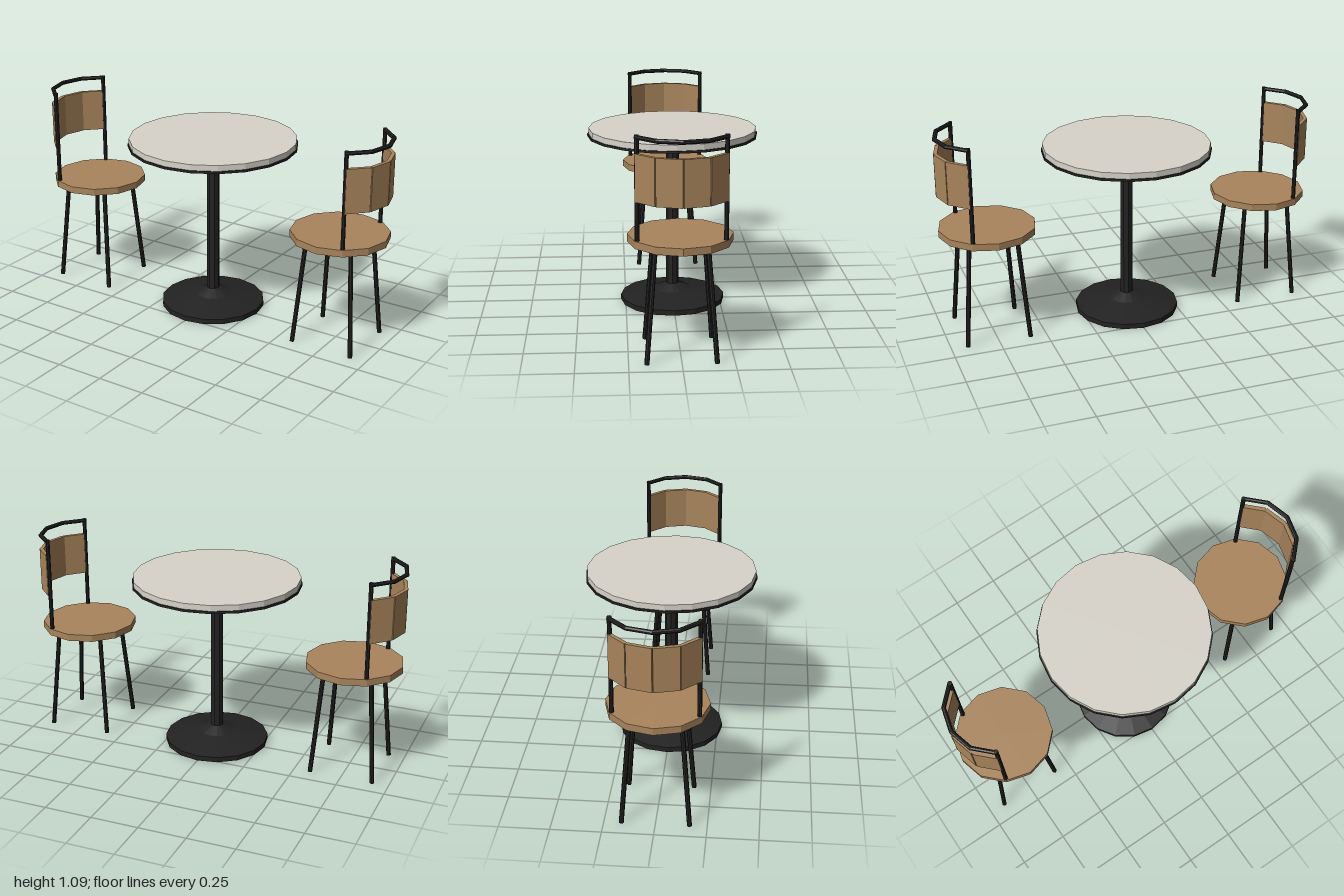
import * as THREE from 'three';

const flat = (name, color) => {
  const m = new THREE.MeshStandardMaterial({ color });
  m.name = name;
  m.flatShading = true;
  return m;
};

function addMesh(parent, name, geometry, material, x = 0, y = 0, z = 0) {
  const mesh = new THREE.Mesh(geometry, material);
  mesh.name = name;
  mesh.position.set(x, y, z);
  parent.add(mesh);
  return mesh;
}

// Round bar between two points, optionally lengthened at both ends
function addBar(parent, name, a, b, radius, material, extra = 0) {
  const dir = b.clone().sub(a);
  const bar = addMesh(parent, name, new THREE.CylinderGeometry(radius, radius, dir.length() + extra * 2, 8), material);
  bar.position.copy(a).add(b).multiplyScalar(0.5);
  bar.quaternion.setFromUnitVectors(new THREE.Vector3(0, 1, 0), dir.normalize());
  return bar;
}

function createTable(stone, metal) {
  const table = new THREE.Group();
  table.name = 'table';
  addMesh(table, 'tableTop', new THREE.CylinderGeometry(0.435, 0.435, 0.03, 20), stone, 0, 0.924, 0);
  addMesh(table, 'tableTopRim', new THREE.CylinderGeometry(0.441, 0.441, 0.012, 20), metal, 0, 0.903, 0);
  addMesh(table, 'tableColumn', new THREE.CylinderGeometry(0.034, 0.034, 0.84, 8), metal, 0, 0.48, 0);
  // Flared pedestal foot
  const profile = [[0, 0], [0.275, 0], [0.275, 0.027], [0.1, 0.064], [0.034, 0.092], [0, 0.092]];
  const foot = new THREE.LatheGeometry(profile.map(([r, y]) => new THREE.Vector2(r, y)), 16);
  addMesh(table, 'tableFoot', foot, metal);
  return table;
}

// Chair centred on its seat, with the backrest towards +x
function createChair(name, wood, metal) {
  const chair = new THREE.Group();
  chair.name = name;
  addMesh(chair, 'seat', new THREE.CylinderGeometry(0.25, 0.25, 0.036, 12), wood, 0, 0.572, 0);

  // Splayed legs
  for (const sx of [-1, 1]) {
    for (const sz of [-1, 1]) {
      addBar(chair, 'leg', new THREE.Vector3(sx * 0.165, 0.001, sz * 0.165),
        new THREE.Vector3(sx * 0.122, 0.56, sz * 0.122), 0.012, metal);
    }
  }

  // Backrest panels and top rail follow an arc in four straight steps
  const R = 0.24;
  const step = Math.PI / 6;
  const onArc = (angle, y) => new THREE.Vector3(R * Math.cos(angle), y, R * Math.sin(angle));
  for (let i = -2; i < 2; i++) {
    const mid = (i + 0.5) * step;
    const d = R * Math.cos(step / 2);
    const panel = addMesh(chair, 'backPanel', new THREE.BoxGeometry(0.02, 0.224, 2 * R * Math.sin(step / 2)),
      wood, d * Math.cos(mid), 0.888, d * Math.sin(mid));
    panel.rotation.y = -mid;
    addBar(chair, 'topRail', onArc(i * step, 1.075), onArc((i + 1) * step, 1.075), 0.011, metal, 0.003);
  }

  // Back posts
  for (const s of [-1, 1]) {
    addMesh(chair, 'backPost', new THREE.CylinderGeometry(0.011, 0.011, 0.505, 8), metal, 0.119, 0.833, s * 0.205);
  }
  return chair;
}

export function createModel() {
  const wood = flat('wood', 0xa9855c);
  const stone = flat('paleStone', 0xd8d4cb);
  const metal = flat('blackMetal', 0x222222);

  const model = new THREE.Group();
  model.name = 'bistroSet';
  model.add(createTable(stone, metal));

  const leftChair = createChair('leftChair', wood, metal);
  leftChair.position.x = 0.75;
  const rightChair = createChair('rightChair', wood, metal);
  rightChair.position.x = -0.75;
  rightChair.rotation.y = Math.PI;
  model.add(leftChair, rightChair);
  return model;
}
